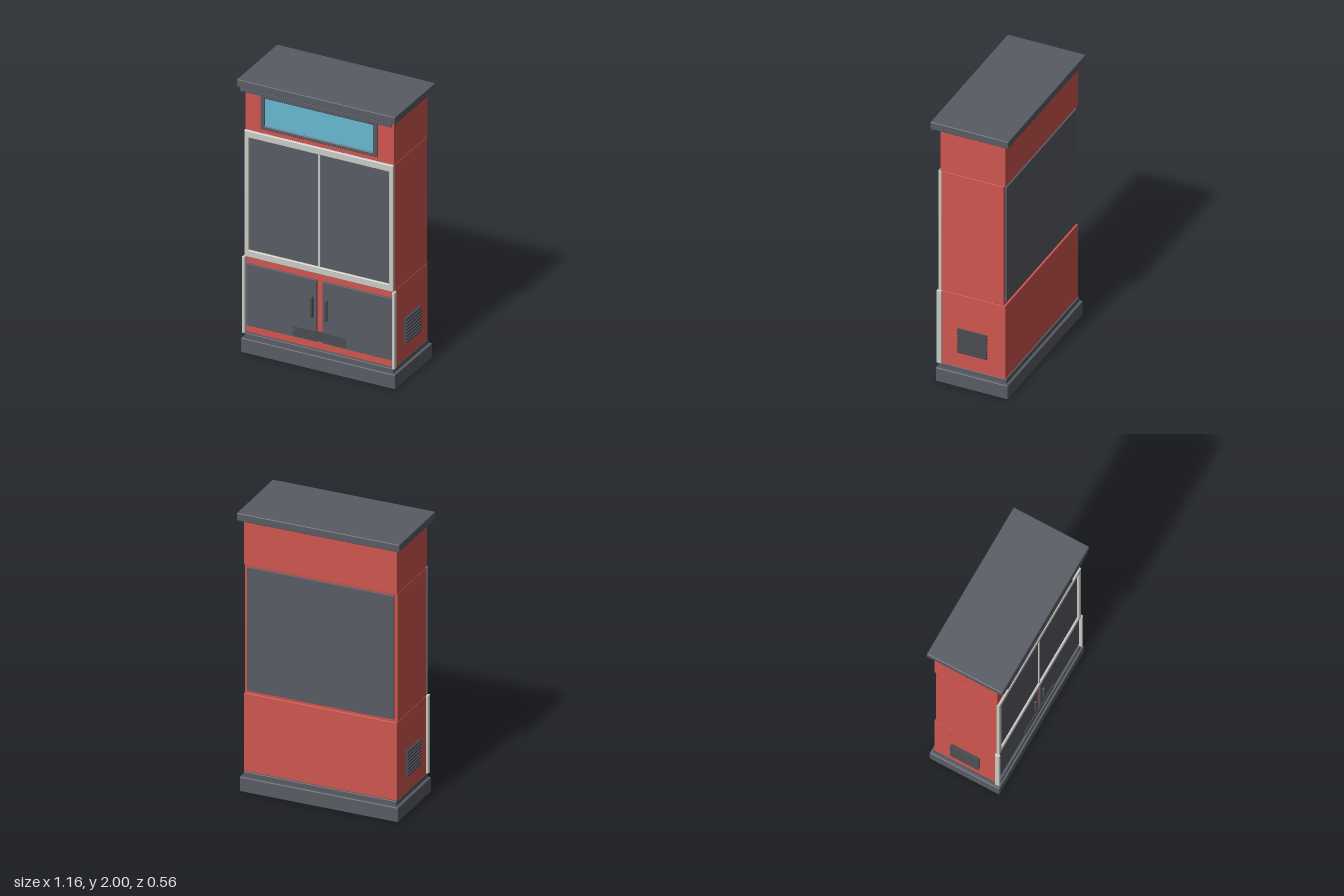
import * as THREE from 'three';
import { RoundedBoxGeometry } from 'three/addons/geometries/RoundedBoxGeometry.js';

const mat = (name, color) => {
  const m = new THREE.MeshStandardMaterial({ color });
  m.name = name;
  return m;
};

export function createModel() {
  const model = new THREE.Group();
  model.name = 'kioskCabinet';
  const red = mat('red', 0xcf554e);
  const dark = mat('charcoal', 0x585b62);
  const black = mat('darkCharcoal', 0x44474d);
  const light = mat('lightGrey', 0xc9c9c5);
  const cyan = mat('cyan', 0x66b8d0);

  // Box given by its limits on each axis, with optional softened edges
  function box(name, material, [x0, x1], [y0, y1], [z0, z1], radius = 0) {
    const size = [x1 - x0, y1 - y0, z1 - z0];
    const geometry = radius
      ? new RoundedBoxGeometry(...size, 2, radius)
      : new THREE.BoxGeometry(...size);
    const mesh = new THREE.Mesh(geometry, material);
    mesh.name = name;
    mesh.position.set((x0 + x1) / 2, (y0 + y1) / 2, (z0 + z1) / 2);
    model.add(mesh);
    return mesh;
  }

  // Rectangular frame with a bevelled edge, its back at z0
  function frame(name, material, w, [y0, y1], [z0, z1], border, borderY) {
    const bevel = 0.004;
    const rect = (path, hx, a, b) => path
      .moveTo(-hx, a).lineTo(hx, a).lineTo(hx, b).lineTo(-hx, b).closePath();
    const shape = rect(new THREE.Shape(), w - bevel, y0 + bevel, y1 - bevel);
    shape.holes.push(rect(new THREE.Path(), w - border + bevel, y0 + borderY - bevel, y1 - borderY + bevel));
    const geometry = new THREE.ExtrudeGeometry(shape, {
      depth: z1 - z0 - 2 * bevel, bevelEnabled: true,
      bevelSize: bevel, bevelThickness: bevel, bevelSegments: 1,
    });
    const mesh = new THREE.Mesh(geometry, material);
    mesh.name = name;
    mesh.position.z = z0 + bevel;
    model.add(mesh);
  }

  // Plinth and its step
  box('plinth', dark, [-0.565, 0.565], [0, 0.105], [-0.268, 0.25], 0.006);
  box('plinthStep', dark, [-0.545, 0.545], [0.1, 0.14], [-0.25, 0.235], 0.005);

  // Three stacked body sections
  box('lowerBody', red, [-0.545, 0.545], [0.14, 0.7], [-0.242, 0.215], 0.003);
  box('middleBody', red, [-0.545, 0.545], [0.7, 1.62], [-0.23, 0.218], 0.003);
  box('upperBody', red, [-0.545, 0.545], [1.62, 1.945], [-0.242, 0.225], 0.003);

  // Roof slab and the thin strip hanging under its front edge
  box('roofSlab', dark, [-0.58, 0.58], [1.945, 2], [-0.28, 0.28], 0.006);
  box('roofStrip', dark, [-0.555, 0.555], [1.92, 1.946], [0.27, 0.28], 0.002);

  // Illuminated panel on the upper section
  frame('signFrame', dark, 0.43, [1.655, 1.91], [0.222, 0.24], 0.032, 0.027);
  box('signPanel', cyan, [-0.4, 0.4], [1.68, 1.885], [0.222, 0.232]);

  // Display window: glass, frame and centre bar
  box('displayGlass', dark, [-0.53, 0.53], [0.73, 1.59], [0.215, 0.226]);
  frame('displayFrame', light, 0.545, [0.7, 1.62], [0.216, 0.24], 0.03, 0.05);
  box('displayCentreBar', light, [-0.007, 0.007], [0.75, 1.57], [0.222, 0.234], 0.002);

  // Rear service panel
  box('rearPanel', dark, [-0.523, 0.523], [0.72, 1.605], [-0.242, -0.228], 0.002);

  // Mirrored doors, handles, corner trims and side vents
  for (const side of [1, -1]) {
    const span = (a, b) => (side > 0 ? [a, b] : [-b, -a]);
    const label = side > 0 ? 'left' : 'right';
    box(label + 'Door', dark, span(0.022, 0.537), [0.195, 0.645], [0.21, 0.228], 0.003);
    box(label + 'Handle', black, span(0.044, 0.062), [0.37, 0.525], [0.226, 0.246], 0.006);
    box(label + 'CornerTrim', light, span(0.54, 0.56), [0.14, 0.7], [0.212, 0.247], 0.005);
    for (let i = 0; i < 8; i++) {
      const y = 0.27 + i * 0.0236;
      box(label + 'VentSlat', black, span(0.54, 0.567), [y - 0.005, y + 0.005], [-0.115, 0.096]);
    }
  }

  // Louvres low across the two doors
  for (let i = 0; i < 5; i++) {
    const y = 0.212 + i * 0.0135;
    box('frontLouvre', black, [-0.19, 0.19], [y - 0.004, y + 0.004], [0.212, 0.234]);
  }
  box('louvreBacking', black, [-0.022, 0.022], [0.205, 0.27], [0.212, 0.224]);

  return model;
}
